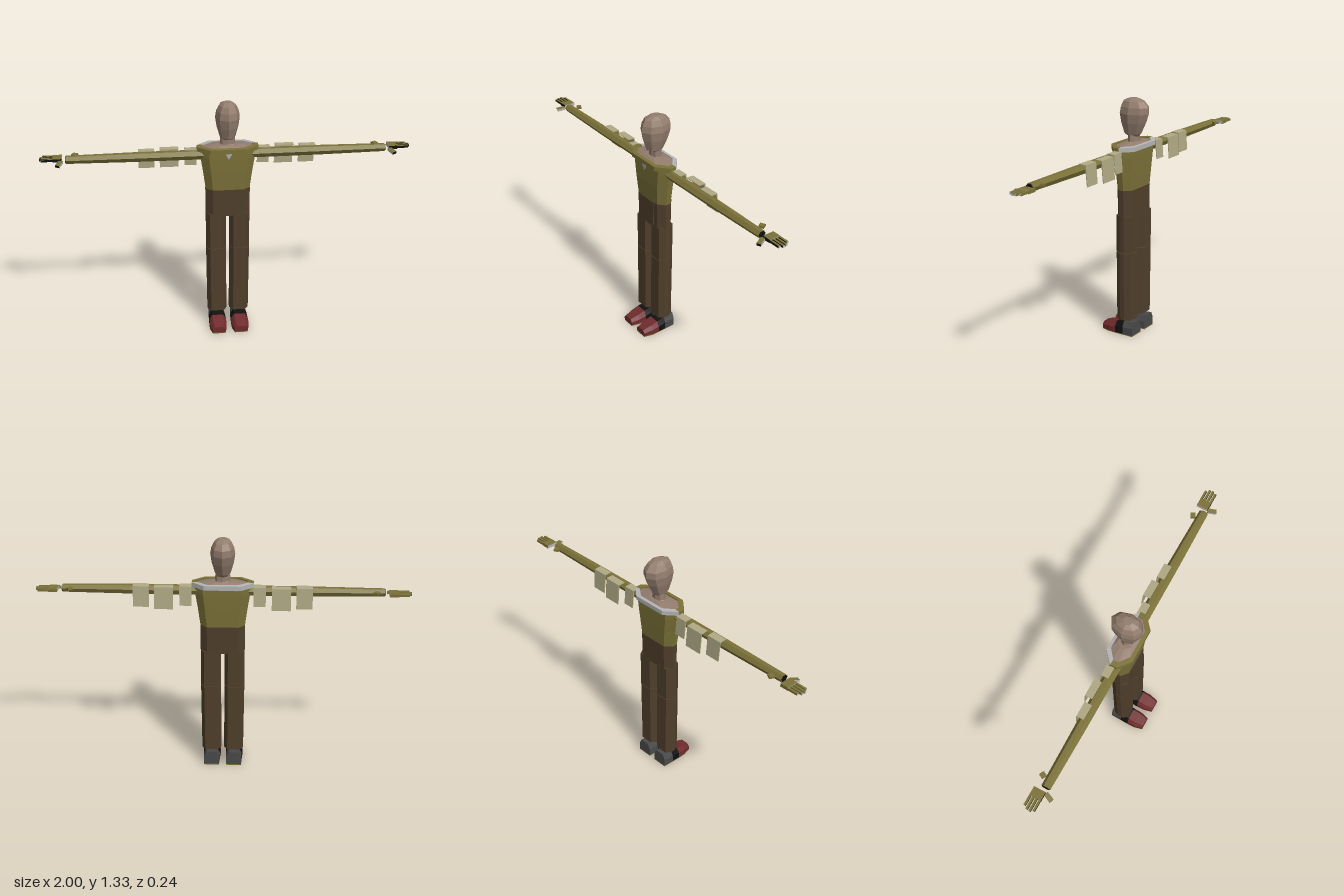
import * as THREE from 'three';

const mat = (name, color) => {
  const m = new THREE.MeshStandardMaterial({ color });
  m.name = name;
  return m;
};

// Closed flat-shaded solid through matching rings of [x, y, z] points, ends capped
function loft(rings) {
  const tris = [];
  const n = rings[0].length;
  for (let i = 0; i < rings.length - 1; i++) {
    for (let j = 0; j < n; j++) {
      const k = (j + 1) % n, a = rings[i], b = rings[i + 1];
      tris.push([a[j], a[k], b[k]], [a[j], b[k], b[j]]);
    }
  }
  const first = rings[0], last = rings[rings.length - 1];
  for (let j = 1; j < n - 1; j++) {
    tris.push([first[0], first[j + 1], first[j]], [last[0], last[j], last[j + 1]]);
  }
  // Turn all faces outward, whichever way the rings run
  const A = new THREE.Vector3(), B = new THREE.Vector3(), C = new THREE.Vector3();
  const O = new THREE.Vector3(...first[0]);
  let volume = 0;
  for (const t of tris) {
    A.set(...t[0]).sub(O); B.set(...t[1]).sub(O); C.set(...t[2]).sub(O);
    volume += A.dot(B.cross(C));
  }
  if (volume < 0) tris.forEach((t) => t.reverse());
  const g = new THREE.BufferGeometry();
  g.setAttribute('position', new THREE.Float32BufferAttribute(tris.flat(2), 3));
  g.computeVertexNormals();
  return g;
}

// Chamfered rectangle in a level plane
function octagon(y, cx, hx, z0, z1, cx0 = 0.3, cz0 = 0.35) {
  const ix = hx * (1 - cx0), cz = (z1 - z0) * cz0;
  return [[-ix, z1], [ix, z1], [hx, z1 - cz], [hx, z0 + cz], [ix, z0], [-ix, z0], [-hx, z0 + cz], [-hx, z1 - cz]]
    .map(([x, z]) => [cx + x, y, z]);
}

// Eight-sided oval in a level plane
function oval(y, hx, z0, z1) {
  return Array.from({ length: 8 }, (_, i) => {
    const a = (i * Math.PI) / 4;
    return [Math.sin(a) * hx, y, (z0 + z1) / 2 + Math.cos(a) * (z1 - z0) / 2];
  });
}

export function createModel() {
  const model = new THREE.Group();
  model.name = 'figure';
  const skin = mat('skin', 0x937d6e);
  const olive = mat('oliveCloth', 0x7b7138);
  const brown = mat('brownTrousers', 0x503f2b);
  const red = mat('redLeather', 0x702b2d);
  const heelGrey = mat('darkGreyHeel', 0x494949);
  const black = mat('blackTrim', 0x101010);
  const pale = mat('paleGrey', 0xb4b4b4);
  const beige = mat('beigeFringe', 0xb0a985);

  const add = (name, geometry, material, parent = model) => {
    const m = new THREE.Mesh(geometry, material);
    m.name = name;
    parent.add(m);
    return m;
  };
  const box = (name, x0, x1, y0, y1, z0, z1, material, parent) => {
    const g = new THREE.BoxGeometry(Math.abs(x1 - x0), y1 - y0, z1 - z0);
    g.translate((x0 + x1) / 2, (y0 + y1) / 2, (z0 + z1) / 2);
    return add(name, g, material, parent);
  };

  // Head: half width and depth range at each height
  add('head', loft([
    [1.125, 0.03, -0.055, 0], [1.14, 0.042, -0.07, 0.03], [1.2, 0.059, -0.1, 0.05],
    [1.25, 0.066, -0.118, 0.061], [1.285, 0.06, -0.117, 0.055],
    [1.315, 0.045, -0.09, 0.038], [1.33, 0.024, -0.05, 0],
  ].map((r) => oval(...r))), skin);
  add('neck', loft([
    oval(1.07, 0.065, -0.075, 0.02), oval(1.1, 0.042, -0.056, 0.002), oval(1.16, 0.037, -0.052, 0),
  ]), skin);

  // Shoulder yoke with the collar around it
  add('yoke', loft([
    octagon(1.06, 0, 0.145, -0.085, 0.035, 0.4), octagon(1.084, 0, 0.14, -0.085, 0.035, 0.4),
    octagon(1.097, 0, 0.06, -0.065, 0.01, 0.4),
  ]), skin);
  const outer = octagon(0, 0, 0.165, -0.097, 0.053, 0.4, 0.38);
  const inner = octagon(0, 0, 0.135, -0.08, 0.032, 0.4, 0.38);
  const collarPiece = (i, name, material) => {
    const k = (i + 1) % 8;
    const end = (p) => [
      [outer[p][0], 1.066, outer[p][2]], [outer[p][0], 1.09, outer[p][2]],
      [inner[p][0], 1.092, inner[p][2]], [inner[p][0], 1.06, inner[p][2]],
    ];
    add(name, loft([end(i), end(k)]), material);
  };
  [0, 1, 2, 6, 7].forEach((i) => collarPiece(i, 'frontCollar', olive));
  [3, 4, 5].forEach((i) => collarPiece(i, 'backCollar', pale));
  add('collarTip', loft([
    [[-0.018, 1.066, 0.044], [0.018, 1.066, 0.044], [0, 1.03, 0.04]],
    [[-0.018, 1.066, 0.05], [0.018, 1.066, 0.05], [0, 1.03, 0.046]],
  ]), pale);

  // Shirt and hips
  add('shirt', loft([
    octagon(0.845, 0, 0.12, -0.072, 0.023), octagon(0.95, 0, 0.134, -0.077, 0.03),
    octagon(1.03, 0, 0.147, -0.08, 0.032), octagon(1.07, 0, 0.15, -0.08, 0.032),
  ]), olive);
  add('hips', loft([
    octagon(0.69, 0, 0.12, -0.071, 0.021), octagon(0.846, 0, 0.121, -0.073, 0.024),
  ]), brown);
  box('frontPanel', -0.055, 0.055, 0.7, 0.845, 0.018, 0.028, brown);

  for (const s of [1, -1]) {
    const side = s > 0 ? 'left' : 'right';

    // Leg, parted by a narrow gap at the knee
    const leg = new THREE.Group();
    leg.name = side + 'Leg';
    model.add(leg);
    add('thigh', loft([
      octagon(0.491, s * 0.065, 0.055, -0.071, 0.02, 0.35),
      octagon(0.7, s * 0.065, 0.055, -0.072, 0.02, 0.35),
    ]), brown, leg);
    add('shin', loft([
      octagon(0.092, s * 0.062, 0.054, -0.07, 0.02, 0.35),
      octagon(0.487, s * 0.065, 0.055, -0.071, 0.02, 0.35),
    ]), brown, leg);

    // Shoe: cross-sections from heel to toe, given as depth, height, half width
    const shoe = new THREE.Group();
    shoe.name = side + 'Shoe';
    model.add(shoe);
    const cut = ([z, h, w], y0 = 0.005) => [
      [-w, y0], [w, y0], [w, h * 0.6], [w * 0.65, h], [-w * 0.65, h], [-w, h * 0.6],
    ].map(([x, y]) => [s * 0.063 + x, y, z]);
    const heel = [-0.085, 0.081, 0.043], mid = [-0.022, 0.075, 0.046], front = [0.026, 0.066, 0.048];
    add('heel', loft([cut(heel), cut(mid)]), heelGrey, shoe);
    add('band', loft([cut(mid), cut(front)]), black, shoe);
    add('toe', loft([cut(front), cut([0.07, 0.055, 0.048]), cut([0.12, 0.04, 0.036])]), red, shoe);
    const sole = (y) => [[-0.043, -0.085], [0.043, -0.085], [0.048, 0.03], [0.048, 0.07], [0.036, 0.12],
      [-0.036, 0.12], [-0.048, 0.07], [-0.048, 0.03]].map(([x, z]) => [s * 0.063 + x, y, z]);
    add('sole', loft([sole(0), sole(0.005)]), olive, shoe);

    // Sleeve: six-sided, tapering slightly toward the wrist
    const arm = new THREE.Group();
    arm.name = side + 'Arm';
    model.add(arm);
    const sleeve = (x, k) => [[0.022, -0.014], [0.022, 0.012], [0.002, 0.03], [-0.023, 0.014],
      [-0.023, -0.018], [0.002, -0.03]].map(([y, z]) => [s * x, 1.043 + y * k, -0.02 + z * k]);
    add('sleeve', loft([sleeve(0.12, 1.03), sleeve(0.5, 1), sleeve(0.86, 0.84)]), olive, arm);
    add('cuffOpening', loft([sleeve(0.859, 0.7), sleeve(0.863, 0.7)]), black, arm);
    const button = box('cuffTab', -0.014, 0.014, -0.006, 0.006, -0.014, 0.014, olive, arm);
    button.position.set(s * 0.814, 1.052, -0.062);
    button.rotation.y = s * 0.5;

    // Fringe: flaps lying on the sleeve and hanging down behind it
    [[0.165, 0.23, -0.016, 0.966], [0.262, 0.363, -0.035, 0.952], [0.392, 0.478, -0.02, 0.958]]
      .forEach(([x0, x1, z, low]) => {
        const slab = (pts) => loft([x0, x1].map((x) => pts.map(([y, d]) => [s * x, y, z + d])));
        add('flapTop', slab([[1.069, 0], [1.073, 0], [1.071, -0.042], [1.066, -0.042]]), beige, arm);
        add('flapHang', slab([[1.071, -0.042], [1.066, -0.037], [low, -0.047], [low, -0.051]]), beige, arm);
      });

    // Hand: cloth-coloured back, pale palm, dark front edge
    const hand = new THREE.Group();
    hand.name = side + 'Hand';
    model.add(hand);
    const faces = [pale, pale, olive, pale, black, olive];
    box('palm', s * 0.882, s * 0.93, 1.034, 1.052, -0.073, -0.008, faces, hand);
    [[-0.068, 0.985], [-0.05, 0.998], [-0.032, 1], [-0.014, 0.99]].forEach(([z, tip]) => {
      const f = box('finger', s * 0.925, s * tip, 1.038, 1.05, z - 0.006, z + 0.006, faces, hand);
      f.name = 'finger';
    });
    const thumb = box('thumb', -0.012, 0.012, -0.007, 0.007, -0.024, 0.024, faces, hand);
    thumb.position.set(s * 0.894, 1.032, 0.014);
    thumb.rotation.set(0.2, s * 0.4, 0);
  }
  return model;
}
